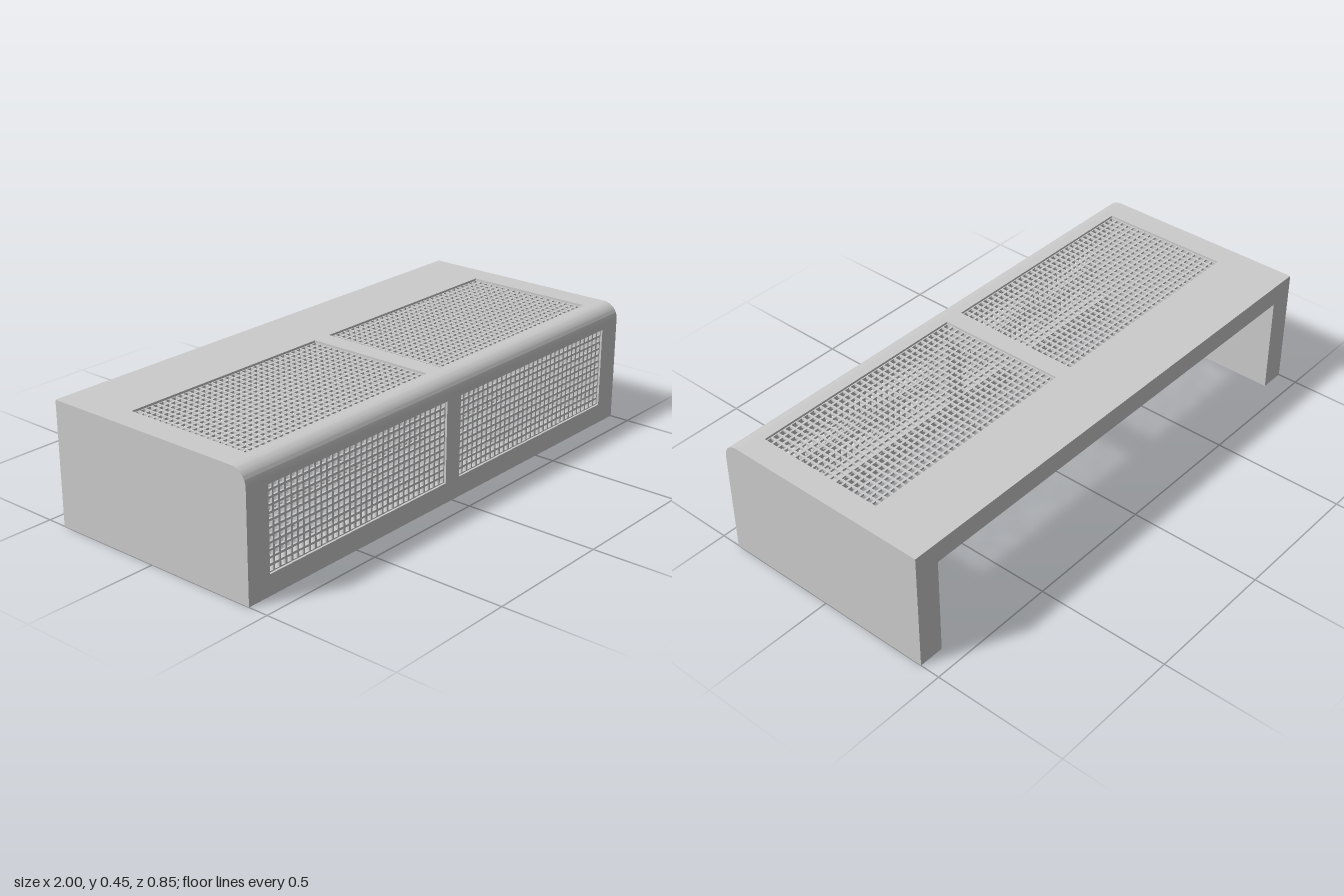
import * as THREE from 'three';
import { mergeGeometries, toCreasedNormals } from 'three/addons/utils/BufferGeometryUtils.js';

const H = 0.453, D = 0.425;            // height and half depth
const SIDE = 0.095, FRONT = 0.09, TOP = 0.078;
const RADIUS = 0.058, POST = 0.037;    // front edge radius, half width of centre post
const INNER_X = 1 - SIDE, INNER_Z = D - FRONT, INNER_Y = H - TOP;
const SILL = 0.075, BACK_RAIL = -0.167;

const material = new THREE.MeshStandardMaterial({ color: 0xcccccc });

// Profile in (z, y) with a rounded upper front corner, extruded along x
function roundedProfile(zBack, yBottom, x0, x1) {
  const s = new THREE.Shape();
  s.moveTo(-D, yBottom);
  s.moveTo(zBack, yBottom);
  s.lineTo(D, yBottom);
  s.lineTo(D, H - RADIUS);
  s.absarc(D - RADIUS, H - RADIUS, RADIUS, 0, Math.PI / 2, false);
  s.lineTo(zBack, H);
  s.closePath();
  const geo = new THREE.ExtrudeGeometry(s, { depth: x1 - x0, bevelEnabled: false, curveSegments: 14 });
  geo.rotateY(-Math.PI / 2);           // z of the extrusion becomes -x, shape x becomes z
  geo.translate(x1, 0, 0);
  return toCreasedNormals(geo, 0.5);
}

function box(x0, x1, y0, y1, z0, z1) {
  const g = new THREE.BoxGeometry(x1 - x0, y1 - y0, z1 - z0);
  return g.translate((x0 + x1) / 2, (y0 + y1) / 2, (z0 + z1) / 2);
}

// Flat grid of square wires in the xy plane, starting at the origin
function wireGrid(w, h, cols, rows, t) {
  const wires = [];
  for (let i = 0; i <= cols; i++) {
    const x = (w * i) / cols;
    wires.push(box(x - t / 2, x + t / 2, 0, h, -t / 2, t / 2));
  }
  for (let j = 0; j <= rows; j++) {
    const y = (h * j) / rows;
    wires.push(box(0, w, y - t / 2, y + t / 2, -t / 2, t / 2));
  }
  return mergeGeometries(wires);
}

export function createModel() {
  const group = new THREE.Group();
  const add = (name, geo) => {
    const mesh = new THREE.Mesh(geo, material);
    mesh.name = name;
    group.add(mesh);
    return mesh;
  };

  // Side walls
  add('leftWall', roundedProfile(-D, 0, INNER_X, 1));
  add('rightWall', roundedProfile(-D, 0, -1, -INNER_X));

  // Rails between the walls
  add('frontTopRail', roundedProfile(INNER_Z, INNER_Y, -INNER_X, INNER_X));
  add('frontSill', box(-INNER_X, INNER_X, 0, SILL, INNER_Z, D));
  add('rearTopPanel', box(-INNER_X, INNER_X, INNER_Y, H, -D, BACK_RAIL));

  // Centre posts
  add('frontPost', box(-POST, POST, SILL, INNER_Y, INNER_Z, D));
  add('topPost', box(-POST, POST, INNER_Y, H, BACK_RAIL, INNER_Z));

  // Wire mesh in the front and top openings, set just inside the outer faces
  const t = 0.008, w = INNER_X - POST;
  const frontGrid = wireGrid(w, INNER_Y - SILL, 32, 12, t);
  const topGrid = wireGrid(w, INNER_Z - BACK_RAIL, 32, 19, t).rotateX(Math.PI / 2);
  for (const [side, x] of [['left', POST], ['right', -INNER_X]]) {
    add(side + 'FrontMesh', frontGrid).position.set(x, SILL, D - 0.012);
    add(side + 'TopMesh', topGrid).position.set(x, H - 0.012, BACK_RAIL);
  }
  return group;
}
